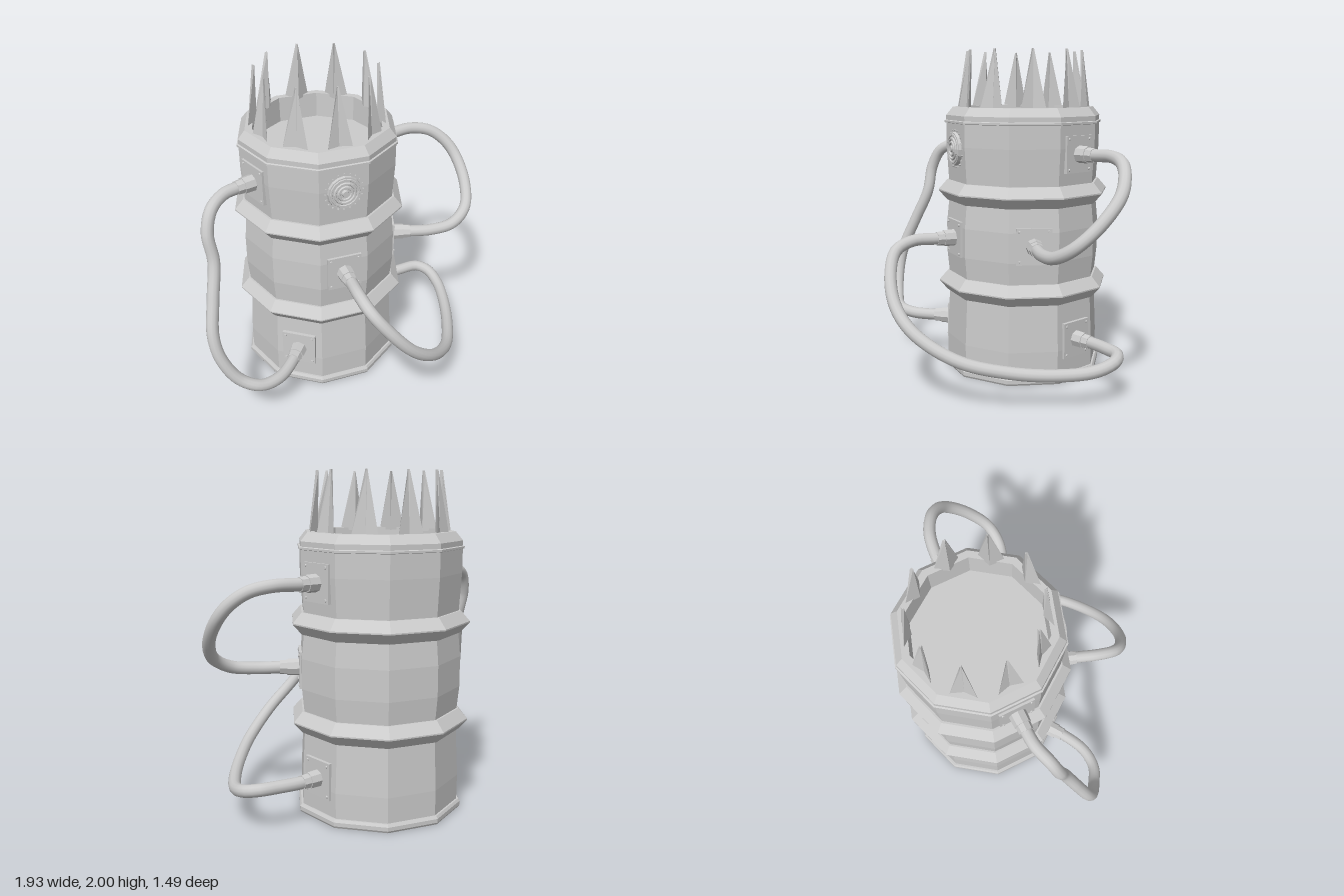
import * as THREE from 'three';

const CX = -0.078, CZ = -0.235, SURFACE = 0.455;
const DEG = Math.PI / 180;
const flat = new THREE.MeshStandardMaterial({ color: 0xcccccc, flatShading: true, side: THREE.DoubleSide });
const smooth = new THREE.MeshStandardMaterial({ color: 0xcccccc });

function add(parent, name, geometry, material = flat) {
  const mesh = new THREE.Mesh(geometry, material);
  mesh.name = name;
  parent.add(mesh);
  return mesh;
}

// Ten-sided turned shell with flat faces towards front and back
function decagon(parent, name, profile) {
  const pts = profile.map(([r, y]) => new THREE.Vector2(r, y));
  const mesh = add(parent, name, new THREE.LatheGeometry(pts, 10));
  mesh.rotation.y = 18 * DEG;
}

// Cylinder whose axis points outward along z, starting at z
function peg(parent, name, r0, r1, length, sides, x, y, z) {
  const geo = new THREE.CylinderGeometry(r1, r0, length, sides).rotateX(Math.PI / 2);
  const mesh = add(parent, name, geo);
  mesh.position.set(x, y, z + length / 2);
  return mesh;
}

// Group on the barrel side: local z points outward
function mount(parent, name, deg, y) {
  const g = new THREE.Group();
  g.name = name;
  g.rotation.y = deg * DEG;
  g.position.y = y;
  parent.add(g);
  return g;
}

// Bolted plate with the stepped fitting that holds a hose end
function hosePort(parent, deg, y) {
  const g = mount(parent, 'hosePort', deg, y);
  add(g, 'plate', new THREE.BoxGeometry(0.215, 0.22, 0.03)).position.z = SURFACE + 0.006;
  for (const sx of [-1, 1]) for (const sy of [-1, 1])
    peg(g, 'bolt', 0.009, 0.007, 0.008, 6, sx * 0.087, sy * 0.09, SURFACE + 0.02);
  peg(g, 'fittingNut', 0.052, 0.05, 0.075, 8, 0, 0, SURFACE + 0.015);
  peg(g, 'fittingCollar', 0.045, 0.042, 0.05, 8, 0, 0, SURFACE + 0.085);
}

function portPoint(deg, y, r) {
  return new THREE.Vector3(CX + r * Math.sin(deg * DEG), y, CZ + r * Math.cos(deg * DEG));
}

// Hose between two ports through the given points
function hose(root, barrel, [a0, y0], middle, [a1, y1]) {
  hosePort(barrel, a0, y0);
  hosePort(barrel, a1, y1);
  const curve = new THREE.CatmullRomCurve3([
    portPoint(a0, y0, 0.47), portPoint(a0, y0, 0.59),
    ...middle.map(p => new THREE.Vector3(...p)),
    portPoint(a1, y1, 0.59), portPoint(a1, y1, 0.47),
  ]);
  add(root, 'hose', new THREE.TubeGeometry(curve, 72, 0.037, 12), smooth);
}

// Thin spike with a V section, its ridge facing the inside
function spikeGeometry() {
  const section = [[-0.077, 0.408], [0, 0.388], [0.077, 0.408], [0, 0.358]];
  const pos = [], idx = [];
  for (const [x, z] of section) pos.push(x, 1.64, z);
  for (const [x, z] of section) pos.push(x * 0.08, 2, 0.352 + (z - 0.358) * 0.3);
  for (let i = 0; i < 4; i++) {
    const j = (i + 1) % 4;
    idx.push(i, j, j + 4, i, j + 4, i + 4);
  }
  idx.push(4, 5, 7, 5, 6, 7, 0, 3, 1, 1, 3, 2);
  const geo = new THREE.BufferGeometry();
  geo.setAttribute('position', new THREE.Float32BufferAttribute(pos, 3));
  geo.setIndex(idx);
  geo.computeVertexNormals();
  return geo;
}

export function createModel() {
  const root = new THREE.Group();
  root.name = 'spikedBarrel';
  const barrel = new THREE.Group();
  barrel.name = 'barrel';
  barrel.position.set(CX, 0, CZ);
  root.add(barrel);

  // Barrel body, bulging slightly between the hoops, with a recessed lid
  decagon(barrel, 'body', [
    [0, 0.01], [0.485, 0.01], [0.487, 0.2], [0.472, 0.5], [0.472, 0.6], [0.487, 0.75], [0.487, 0.93],
    [0.472, 1.08], [0.472, 1.2], [0.486, 1.42], [0.487, 1.605], [0.445, 1.656], [0.4, 1.656],
    [0.395, 1.5], [0, 1.5],
  ]);
  decagon(barrel, 'bottomRim', [[0, 0], [0.5, 0], [0.507, 0.012], [0.507, 0.035], [0.497, 0.05], [0.47, 0.05]]);
  decagon(barrel, 'topBead', [[0.48, 1.555], [0.497, 1.56], [0.497, 1.572], [0.48, 1.578]]);
  for (const y of [0.552, 1.137])
    decagon(barrel, 'hoop', [
      [0.46, y - 0.064], [0.485, y - 0.064], [0.538, y - 0.004], [0.538, y + 0.004], [0.485, y + 0.064], [0.46, y + 0.064],
    ]);

  // Crown of spikes, one per side
  const spike = spikeGeometry();
  for (let i = 0; i < 10; i++)
    add(barrel, 'spike', spike).rotation.y = i * 36 * DEG;

  // Round stepped dial on the front, ringed by small rivets
  const dial = mount(barrel, 'dial', 0, 1.405);
  peg(dial, 'dialBase', 0.105, 0.1, 0.03, 16, 0, 0, SURFACE - 0.005);
  for (const [r, z] of [[0.085, 0.025], [0.062, 0.03], [0.04, 0.033]])
    add(dial, 'dialRing', new THREE.TorusGeometry(r, 0.009, 6, 16)).position.z = SURFACE + z - 0.003;
  peg(dial, 'dialButton', 0.024, 0.018, 0.02, 12, 0, 0, SURFACE + 0.02);
  for (let i = 0; i < 20; i++) {
    const a = i * 18 * DEG;
    peg(dial, 'rivet', 0.005, 0.004, 0.014, 5, 0.115 * Math.cos(a), 0.115 * Math.sin(a), SURFACE);
  }

  // Hose on the right side, from top to bottom
  hose(root, barrel, [-72, 1.39], [
    [-0.72, 1.385, -0.02], [-0.81, 1.34, 0.05], [-0.853, 1.22, 0.1], [-0.84, 1.05, 0.14], [-0.88, 0.85, 0.22],
    [-0.915, 0.65, 0.3], [-0.89, 0.5, 0.345], [-0.8, 0.35, 0.385], [-0.68, 0.285, 0.41], [-0.55, 0.267, 0.365],
  ], [-36, 0.267]);

  // Hose looping on the left side
  hose(root, barrel, [108, 1.385], [
    [0.64, 1.388, -0.443], [0.77, 1.36, -0.425], [0.865, 1.29, -0.38], [0.92, 1.2, -0.32], [0.935, 1.06, -0.19],
    [0.885, 0.94, -0.07], [0.77, 0.87, -0.015], [0.62, 0.85, -0.02],
  ], [72, 0.85]);

  // Long hose sweeping from the front to the left side
  hose(root, barrel, [0, 0.855], [
    [-0.082, 0.855, 0.5], [-0.055, 0.81, 0.62], [0.03, 0.7, 0.685], [0.17, 0.54, 0.705], [0.33, 0.41, 0.65],
    [0.53, 0.28, 0.46], [0.68, 0.22, 0.19], [0.78, 0.203, -0.07], [0.82, 0.212, -0.25], [0.805, 0.24, -0.38],
    [0.74, 0.257, -0.44], [0.62, 0.258, -0.438],
  ], [108, 0.255]);

  return root;
}
